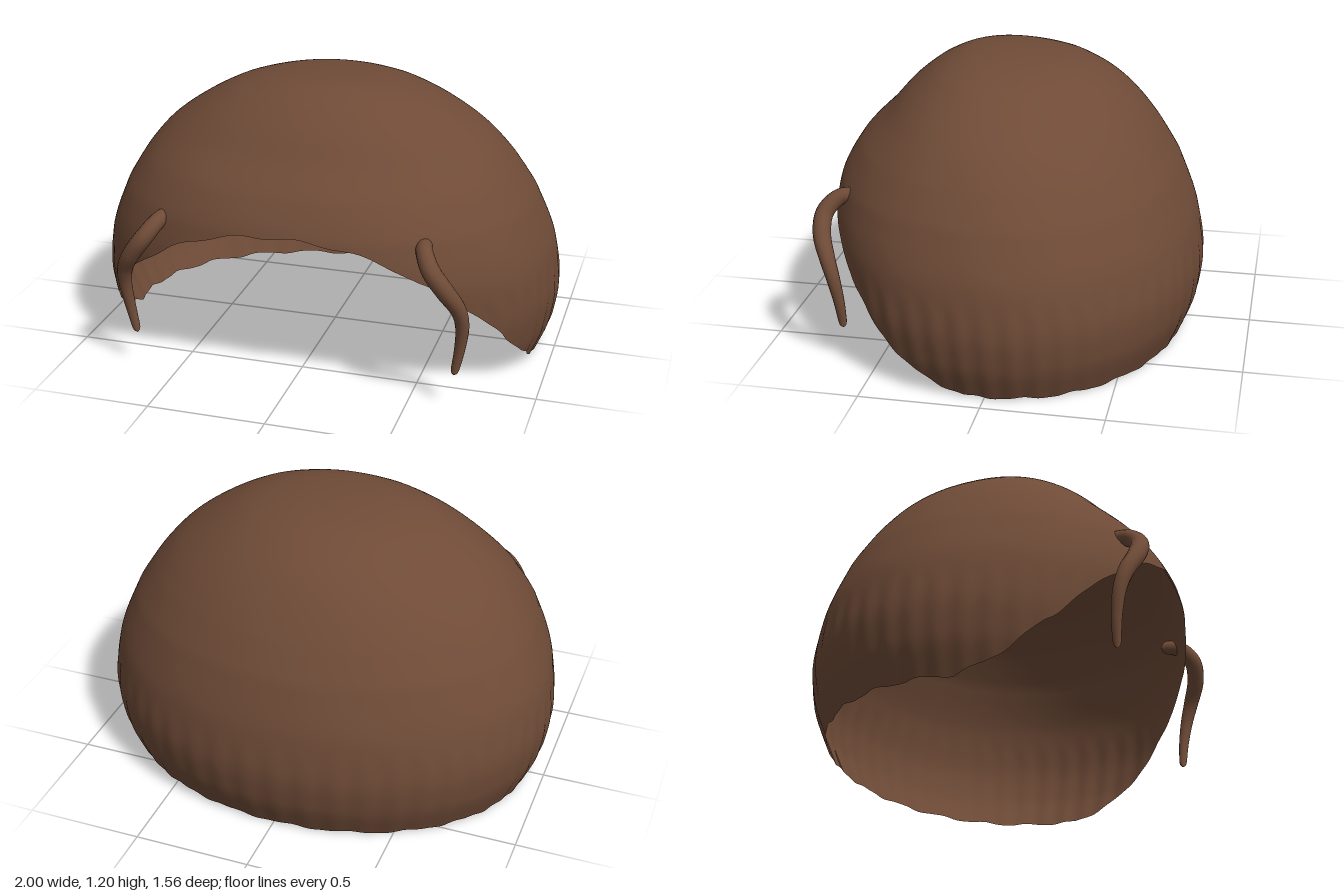
import * as THREE from 'three';

const TOP = 1.2;
// Level sections: height, half width, front z, back z
const LEVELS = [
  [1.2, 0, 0.12, 0.12], [1.192, 0.17, 0.25, -0.03], [1.17, 0.3, 0.325, -0.18],
  [1.13, 0.425, 0.4, -0.29], [1.05, 0.57, 0.5, -0.41], [0.95, 0.705, 0.59, -0.505],
  [0.84, 0.803, 0.7, -0.587], [0.7, 0.893, 0.78, -0.67], [0.49, 0.975, 0.81, -0.748],
  [0.3, 1.0, 0.79, -0.78], [0.15, 0.98, 0.76, -0.765], [0, 0.92, 0.73, -0.71],
];
// Hairline: z and height of the lower edge
const HAIRLINE = [[0.08, 0.01], [0.2, 0.05], [0.3, 0.11], [0.45, 0.235], [0.61, 0.43], [0.7, 0.55], [0.78, 0.71]];

const profile = new THREE.CatmullRomCurve3(LEVELS.map(([, a, f, b]) => new THREE.Vector3(a, f, b)));
const polar = (y) => Math.acos(Math.min(1, y / TOP));

function sectionAt(y) {
  let k = 0;
  while (k < LEVELS.length - 2 && y < LEVELS[k + 1][0]) k++;
  const p0 = polar(LEVELS[k][0]), p1 = polar(LEVELS[k + 1][0]);
  const f = THREE.MathUtils.clamp((polar(y) - p0) / (p1 - p0), 0, 1);
  return profile.getPoint((k + f) / (LEVELS.length - 1));
}

// Oval cross-section, fuller at the temples, with soft locks on the lower sides and back
function surfacePoint(theta, y) {
  const s = sectionAt(y);
  const c = 0.12 * (y / TOP) ** 2;
  const sx = Math.sin(theta), cz = Math.cos(theta);
  const n = 2.04 + 0.21 * THREE.MathUtils.smoothstep(cz, 0, 0.5) * Math.min(1, (TOP - y) / 0.6);
  const low = THREE.MathUtils.smoothstep(0.46 - y, 0, 0.1);
  const k = 1 + low * (0.003 * Math.sin(theta * 48) - 0.002);
  const r = k / Math.pow(Math.abs(sx) ** n + Math.abs(cz) ** n, 1 / n);
  const depth = cz > 0 ? s.y - c : c - s.z;
  return new THREE.Vector3(sx * r * s.x, y, c + cz * r * depth);
}

function hairlineY(z) {
  if (z <= HAIRLINE[0][0]) return HAIRLINE[0][1];
  for (let i = 1; i < HAIRLINE.length; i++) {
    const [z0, y0] = HAIRLINE[i - 1], [z1, y1] = HAIRLINE[i];
    if (z <= z1) return y0 + ((y1 - y0) * (z - z0)) / (z1 - z0);
  }
  return HAIRLINE[HAIRLINE.length - 1][1];
}

function rimHeight(theta) {
  let lo = 0, hi = 0.95;
  for (let i = 0; i < 30; i++) {
    const mid = (lo + hi) / 2;
    if (mid < hairlineY(surfacePoint(theta, mid).z)) lo = mid; else hi = mid;
  }
  return Math.max(0, lo + 0.006 * Math.sin(theta * 22));
}

// Open shell of hair, from the crown down to the hairline
function capGeometry(cols = 288, rows = 64) {
  const pos = [], index = [];
  const rims = Array.from({ length: cols }, (_, j) => rimHeight((j / cols) * Math.PI * 2));
  for (let i = 0; i <= rows; i++) {
    for (let j = 0; j < cols; j++) {
      const y = TOP * Math.cos((i / rows) * polar(rims[j]));
      pos.push(...surfacePoint((j / cols) * Math.PI * 2, y).toArray());
      if (i === rows) continue;
      const a = i * cols + j, b = i * cols + ((j + 1) % cols);
      if (i > 0) index.push(a, a + cols, b);
      index.push(b, a + cols, b + cols);
    }
  }
  const g = new THREE.BufferGeometry();
  g.setAttribute('position', new THREE.Float32BufferAttribute(pos, 3));
  g.setIndex(index);
  g.computeVertexNormals();
  // Crown points share one upward normal
  for (let j = 0; j < cols; j++) g.attributes.normal.setXYZ(j, 0, 1, 0);
  return g;
}

// Curved strand: a tube whose rings shrink towards rounded ends
function strandGeometry(side) {
  const path = new THREE.CatmullRomCurve3([
    [0.545, 0.69, 0.6], [0.56, 0.68, 0.68], [0.6, 0.625, 0.735], [0.655, 0.55, 0.735],
    [0.705, 0.46, 0.7], [0.718, 0.38, 0.675], [0.708, 0.27, 0.657], [0.685, 0.145, 0.65],
  ].map(([x, y, z]) => new THREE.Vector3(x * side, y, z)));
  const segs = 60, sides = 14;
  const g = new THREE.TubeGeometry(path, segs, 1, sides, false);
  const p = g.attributes.position, v = new THREE.Vector3();
  for (let i = 0; i <= segs; i++) {
    const t = i / segs, c = path.getPointAt(t);
    const body = t < 0.6 ? 0.03 + 0.008 * Math.sin((t / 0.6) * Math.PI) : 0.03 - 0.014 * ((t - 0.6) / 0.4);
    const end = Math.max(0, Math.abs(t - 0.5) - 0.45) / 0.05;
    const r = body * Math.sqrt(Math.max(0, 1 - end * end));
    for (let j = 0; j <= sides; j++) {
      const k = i * (sides + 1) + j;
      v.fromBufferAttribute(p, k).sub(c).multiplyScalar(r).add(c);
      p.setXYZ(k, v.x, v.y, v.z);
    }
  }
  return g;
}

export function createModel() {
  const hair = new THREE.MeshStandardMaterial({ color: 0x6f4b37 });
  hair.name = 'brown hair';
  hair.side = THREE.DoubleSide;
  const model = new THREE.Group();
  model.name = 'hair';
  const add = (name, geometry) => {
    const mesh = new THREE.Mesh(geometry, hair);
    mesh.name = name;
    model.add(mesh);
  };
  add('hairCap', capGeometry());
  add('leftStrand', strandGeometry(1));
  add('rightStrand', strandGeometry(-1));
  return model;
}
